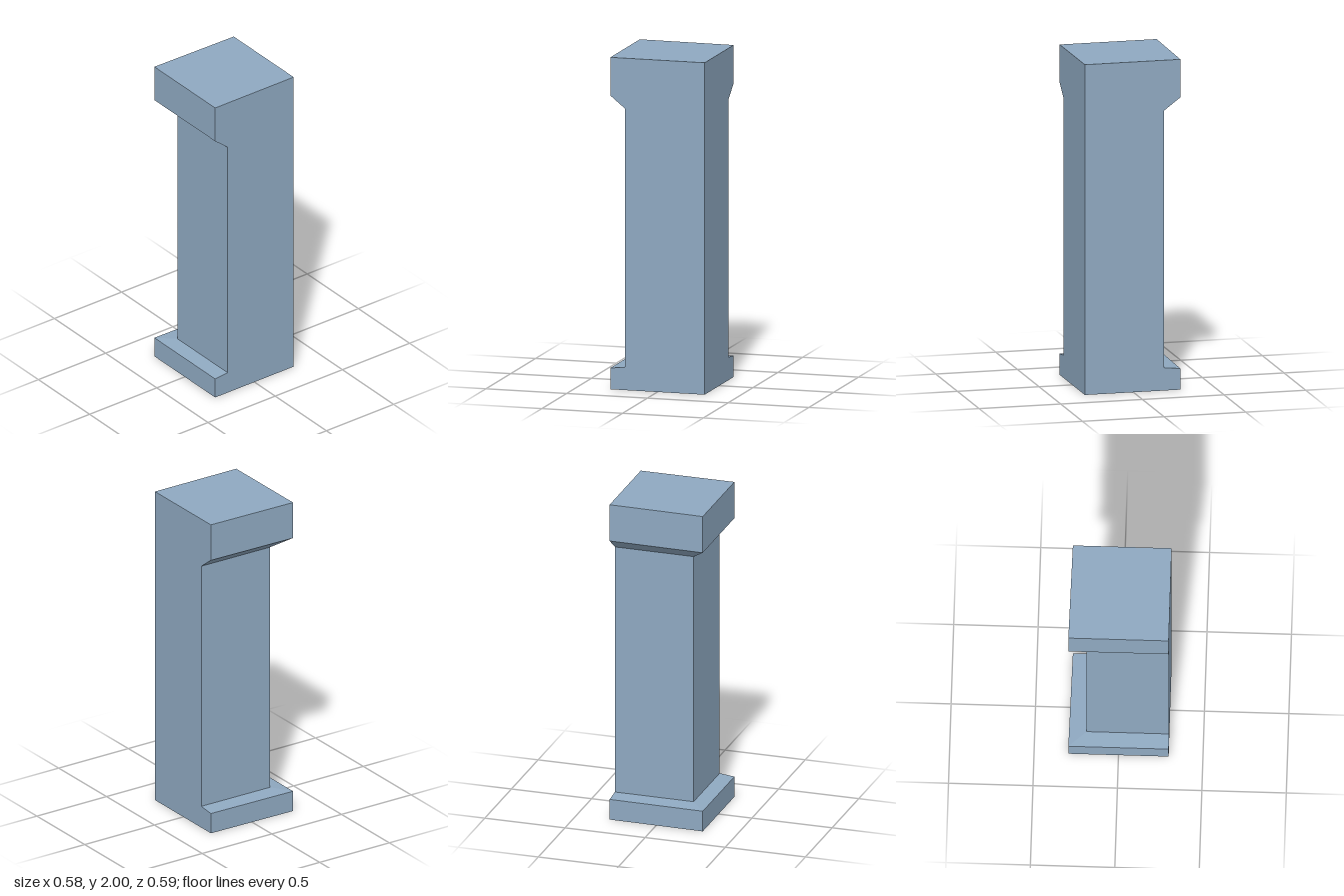
import * as THREE from 'three';

// Height, left edge x, back z at the left and at the right corner
const SECTIONS = [
  [0, -0.292, -0.297, -0.288],
  [0.128, -0.292, -0.297, -0.288],
  [0.138, -0.2, -0.191, -0.188],
  [1.695, -0.2, -0.191, -0.188],
  [1.77, -0.292, -0.297, -0.288],
  [2, -0.292, -0.297, -0.288],
];
const RIGHT = 0.292, FRONT = 0.297;

// Corners of one section, counter-clockwise seen from above
const ring = ([y, left, backLeft, backRight]) => [
  [left, y, FRONT], [RIGHT, y, FRONT], [RIGHT, y, backRight], [left, y, backLeft],
];

// Flat-sided skin between consecutive sections, optionally closed on top
function skin(sections, capped) {
  const rings = sections.map(ring);
  const points = [];
  const quad = (a, b, c, d) => points.push(...a, ...b, ...c, ...a, ...c, ...d);
  for (let i = 0; i + 1 < rings.length; i++) {
    for (let k = 0; k < 4; k++) {
      const n = (k + 1) % 4;
      quad(rings[i][k], rings[i][n], rings[i + 1][n], rings[i + 1][k]);
    }
  }
  if (capped) quad(...rings[rings.length - 1]);
  const geometry = new THREE.BufferGeometry();
  geometry.setAttribute('position', new THREE.Float32BufferAttribute(points, 3));
  geometry.computeVertexNormals();
  return geometry;
}

export function createModel() {
  const group = new THREE.Group();
  group.name = 'cornerPillar';
  const stone = new THREE.MeshStandardMaterial({ color: 0x8fa9c1, side: THREE.DoubleSide });
  stone.name = 'blueGreyStone';

  const add = (name, from, to, capped = false) => {
    const mesh = new THREE.Mesh(skin(SECTIONS.slice(from, to + 1), capped), stone);
    mesh.name = name;
    group.add(mesh);
  };
  // Hollow shell, open underneath; ledges project to the left and back only
  add('base', 0, 2);
  add('shaft', 2, 3);
  add('capital', 3, 5, true);
  return group;
}
